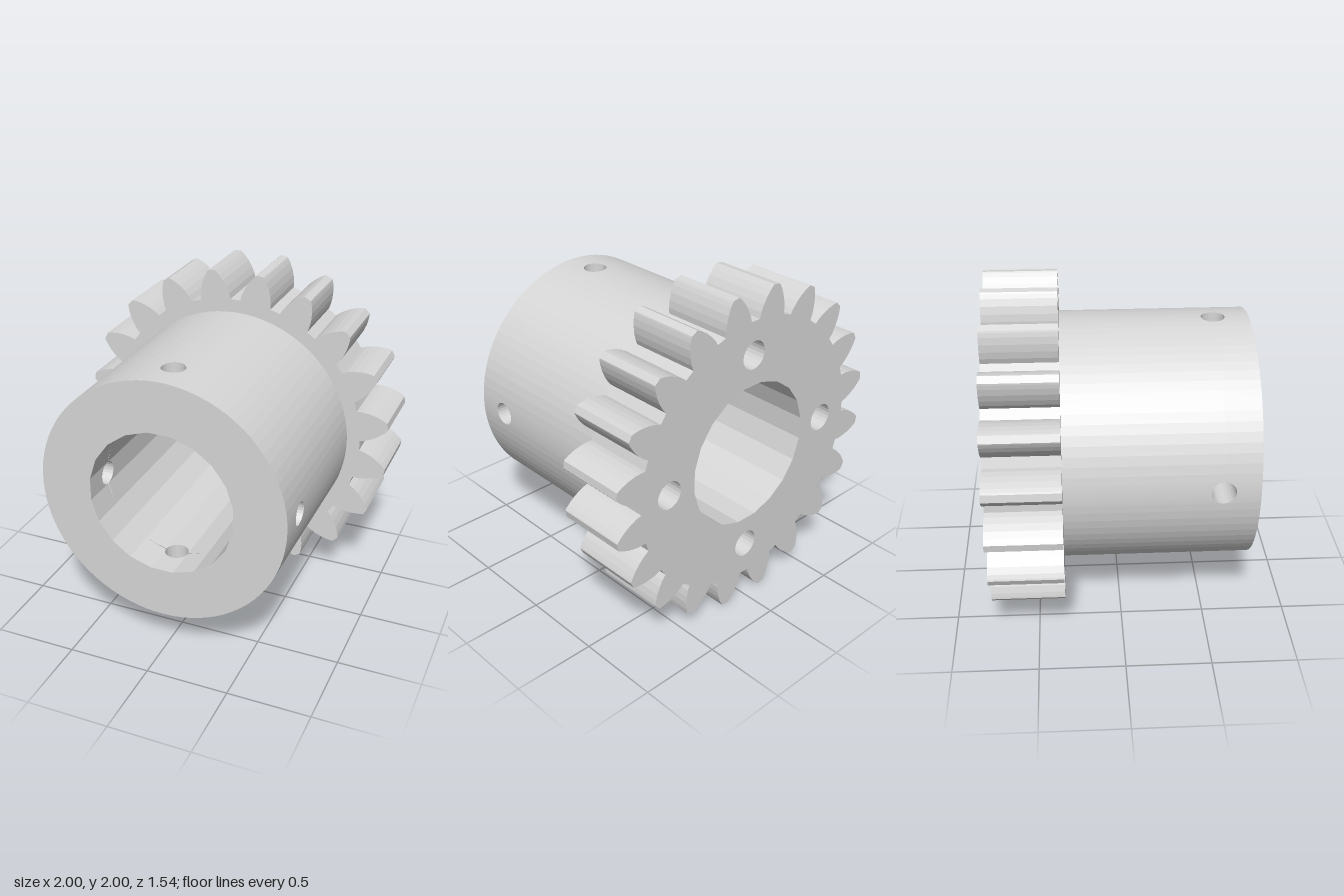
import * as THREE from 'three';

const TEETH = 20, HUB_R = 0.748, BORE_R = 0.443;
const APOTHEM = BORE_R * Math.cos(Math.PI / 20);
const BACK = -0.77, STEP = -0.34, FRONT = 0.77;
const HOLE_R = 0.07, HOLE_Z = 0.56, HOLE_SEGS = 24;
const PIN_R = 0.085, PIN_ORBIT = 0.625;
const rad = THREE.MathUtils.degToRad;

// Point on a circle, angle measured clockwise from the top
const polar = (r, a) => new THREE.Vector2(r * Math.sin(a), r * Math.cos(a));
const polygon = (r, n, offset = 0, cx = 0, cy = 0) =>
  Array.from({ length: n }, (_, i) => polar(r, offset + (i / n) * Math.PI * 2).add(new THREE.Vector2(cx, cy)));
// Hole outlines run opposite to the clockwise outer outlines
const holePath = (...args) => new THREE.Path(polygon(...args).reverse());

// Faceted geometry from a list of four-cornered faces
function fromQuads(quads) {
  const pos = [];
  for (const [a, b, c, d] of quads) for (const p of [a, b, c, a, c, d]) pos.push(...p);
  const geo = new THREE.BufferGeometry();
  geo.setAttribute('position', new THREE.Float32BufferAttribute(pos, 3));
  geo.computeVertexNormals();
  return geo;
}

// Four quarter walls, each pierced by a round hole in its middle
function piercedWall(rhoAt, angleOfU, stepDeg, inward) {
  const angles = [];
  const limit = angleOfU(HOLE_R);
  for (let d = -45; d <= 45.001; d += stepDeg) if (Math.abs(rad(d)) > limit + 1e-4) angles.push(rad(d));
  for (let i = 0; i <= HOLE_SEGS / 2; i++) angles.push(angleOfU(HOLE_R * Math.cos((i / HOLE_SEGS) * Math.PI * 2)));
  angles.sort((a, b) => a - b);
  const gap = (a) => {
    const u = rhoAt(a) * Math.sin(a);
    return Math.sqrt(Math.max(0, HOLE_R * HOLE_R - u * u));
  };
  const quads = [];
  for (let q = 0; q < 4; q++) {
    const at = (a, z) => [...polar(rhoAt(a), a + (q * Math.PI) / 2).toArray(), z];
    for (let i = 0; i < angles.length - 1; i++) {
      const a = angles[i], b = angles[i + 1], ga = gap(a), gb = gap(b);
      const faces = [
        [at(a, FRONT), at(b, FRONT), at(b, HOLE_Z + gb), at(a, HOLE_Z + ga)],
        [at(a, HOLE_Z - ga), at(b, HOLE_Z - gb), at(b, STEP), at(a, STEP)],
      ];
      for (const f of faces) quads.push(inward ? f.reverse() : f);
    }
  }
  return fromQuads(quads);
}

// Lining of one radial hole, from the bore to the hub surface
function holeLining() {
  const quads = [];
  const pt = (i, outer) => {
    const t = (i / HOLE_SEGS) * Math.PI * 2, u = HOLE_R * Math.cos(t);
    return [u, outer ? Math.sqrt(HUB_R * HUB_R - u * u) : APOTHEM, HOLE_Z + HOLE_R * Math.sin(t)];
  };
  for (let i = 0; i < HOLE_SEGS; i++) quads.push([pt(i, false), pt(i + 1, false), pt(i + 1, true), pt(i, true)]);
  return fromQuads(quads);
}

// Toothed outline with bore and four pin holes
function gearShape() {
  // radius and half width in degrees, root to tip, with a bulging flank
  const flank = [[0.83, 6.8], [0.865, 6.3], [0.905, 5.3], [0.945, 4.05], [0.98, 2.65], [1.0, 1.7], [1.008, 1.25]];
  const pts = [];
  for (let i = 0; i < TEETH; i++) {
    const mid = 9 + (i * 360) / TEETH;
    for (const [r, w] of flank) pts.push(polar(r, rad(mid - w)));
    for (const [r, w] of [...flank].reverse()) pts.push(polar(r, rad(mid + w)));
  }
  const shape = new THREE.Shape(pts);
  shape.holes.push(holePath(BORE_R, 20, rad(9)));
  for (let q = 0; q < 4; q++) {
    const c = polar(PIN_ORBIT, (q * Math.PI) / 2);
    shape.holes.push(holePath(PIN_R, 24, 0, c.x, c.y));
  }
  return shape;
}

export function createModel() {
  const steel = new THREE.MeshStandardMaterial({ color: 0xd7d7d7 });
  steel.name = 'steel grey';
  const group = new THREE.Group();
  group.name = 'hubbedGear';
  const add = (name, geo) => {
    const mesh = new THREE.Mesh(geo, steel);
    mesh.name = name;
    group.add(mesh);
    return mesh;
  };

  // Toothed wheel
  const gear = add('gearWheel', new THREE.ExtrudeGeometry(gearShape(), { depth: STEP - BACK, bevelEnabled: false }));
  gear.position.z = BACK;

  // Hub surface and many-sided bore
  add('hubWall', piercedWall(() => HUB_R, (u) => Math.asin(u / HUB_R), 4.5, false));
  const facet = rad(18);
  const boreRho = (a) => APOTHEM / Math.cos(a - Math.round(a / facet) * facet);
  add('boreWall', piercedWall(boreRho, (u) => Math.atan(u / APOTHEM), 18, true));

  // Hub end face, and the inner face that closes the pin holes
  const ring = new THREE.Shape(polygon(HUB_R, 80));
  ring.holes.push(holePath(BORE_R, 20, rad(9)));
  const ringGeo = new THREE.ShapeGeometry(ring);
  add('hubEndFace', ringGeo).position.z = FRONT;
  const floor = add('pinHoleFloor', ringGeo);
  floor.position.z = STEP;
  floor.rotation.y = Math.PI;

  // Set screw holes
  const lining = holeLining();
  for (let q = 0; q < 4; q++) add('screwHole' + (q + 1), lining).rotation.z = (q * Math.PI) / 2;

  group.position.y = 1;
  const model = new THREE.Group();
  model.name = 'model';
  model.add(group);
  return model;
}
